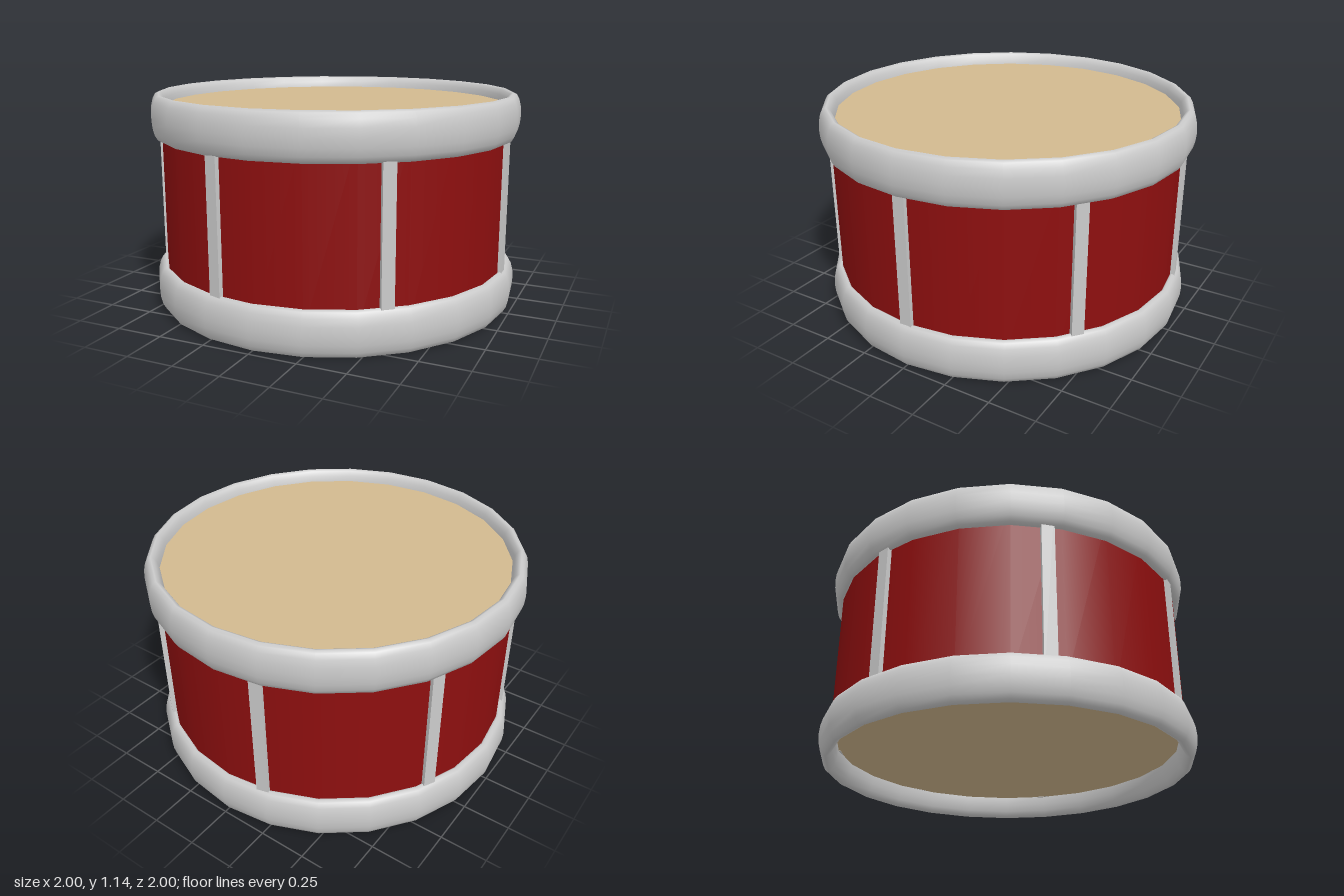
import * as THREE from 'three';

const SIDES = 24;
const POSTS = 7;
const RIM_LOW = 0.1175, RIM_HIGH = 1.0275;

export function createModel() {
  const drum = new THREE.Group();
  drum.name = 'drum';

  const metal = new THREE.MeshStandardMaterial({ color: 0xcccccc });
  const red = new THREE.MeshStandardMaterial({ color: 0x8e0f0f, side: THREE.DoubleSide });
  const skin = new THREE.MeshStandardMaterial({ color: 0xd2b98f });

  const add = (name, geometry, material, parent = drum) => {
    const mesh = new THREE.Mesh(geometry, material);
    mesh.name = name;
    parent.add(mesh);
    return mesh;
  };

  // Shell: open wall hidden inside the rims at both ends
  add('shell', new THREE.CylinderGeometry(0.945, 0.945, RIM_HIGH - RIM_LOW, SIDES, 1, true), red)
    .position.y = (RIM_HIGH + RIM_LOW) / 2;

  // Rims: rings with a tall oval section
  const rim = new THREE.TorusGeometry(0.956, 0.044, 16, SIDES);
  rim.rotateX(Math.PI / 2);
  rim.scale(1, 0.1175 / 0.044, 1);
  add('lowerRim', rim, metal).position.y = RIM_LOW;
  add('upperRim', rim, metal).position.y = RIM_HIGH;

  // Heads: flat skins set inside the rims
  const head = new THREE.CircleGeometry(0.935, SIDES);
  const upper = add('upperHead', head, skin);
  upper.rotation.x = -Math.PI / 2;
  upper.position.y = 1.08;
  const lower = add('lowerHead', head, skin);
  lower.rotation.x = Math.PI / 2;
  lower.position.y = 0.12;

  // Posts: upright bars evenly spaced round the shell
  const posts = new THREE.Group();
  posts.name = 'posts';
  drum.add(posts);
  const bar = new THREE.BoxGeometry(0.06, RIM_HIGH - RIM_LOW, 0.065);
  for (let i = 0; i < POSTS; i++) {
    const a = (i / POSTS) * Math.PI * 2;
    const post = add('post', bar, metal, posts);
    post.position.set(0.932 * Math.cos(a), (RIM_HIGH + RIM_LOW) / 2, 0.932 * Math.sin(a));
    post.rotation.y = -a;
  }
  return drum;
}
